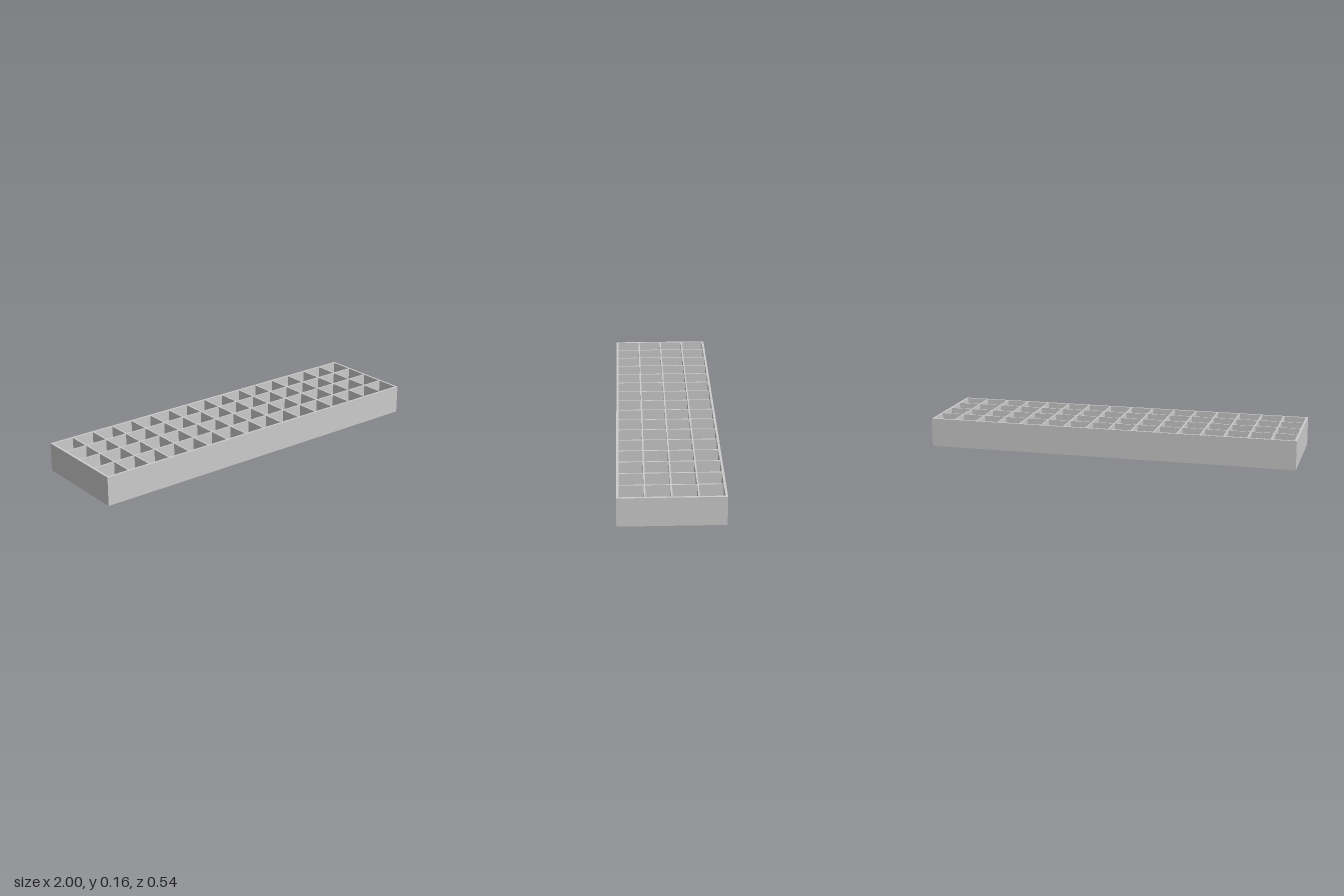
import * as THREE from 'three';

const LENGTH = 2, DEPTH = 0.538, HEIGHT = 0.155;
const RIM = 0.012, DIVIDER = 0.008, FLOOR = 0.012;
const COLUMNS = 16, ROWS = 4;

// Traces a rectangle from its lower corner
function rectangle(path, x, y, w, h) {
  path.moveTo(x, y);
  path.lineTo(x + w, y);
  path.lineTo(x + w, y + h);
  path.lineTo(x, y + h);
  path.closePath();
  return path;
}

export function createModel() {
  const group = new THREE.Group();
  group.name = 'compartmentTray';
  const material = new THREE.MeshStandardMaterial({ color: 0xcccccc, flatShading: true });

  // Outer walls and dividers: one slab pierced by a grid of cells
  const outline = rectangle(new THREE.Shape(), -LENGTH / 2, -DEPTH / 2, LENGTH, DEPTH);
  const cellW = (LENGTH - 2 * RIM - (COLUMNS - 1) * DIVIDER) / COLUMNS;
  const cellD = (DEPTH - 2 * RIM - (ROWS - 1) * DIVIDER) / ROWS;
  for (let c = 0; c < COLUMNS; c++) {
    for (let r = 0; r < ROWS; r++) {
      const x = -LENGTH / 2 + RIM + c * (cellW + DIVIDER);
      const y = -DEPTH / 2 + RIM + r * (cellD + DIVIDER);
      outline.holes.push(rectangle(new THREE.Path(), x, y, cellW, cellD));
    }
  }
  const wallGeometry = new THREE.ExtrudeGeometry(outline, { depth: HEIGHT - FLOOR, bevelEnabled: false });
  wallGeometry.rotateX(-Math.PI / 2);
  const walls = new THREE.Mesh(wallGeometry, material);
  walls.name = 'wallsAndDividers';
  walls.position.y = FLOOR;
  group.add(walls);

  // Solid base plate closing the cells
  const floor = new THREE.Mesh(new THREE.BoxGeometry(LENGTH, FLOOR, DEPTH), material);
  floor.name = 'floor';
  floor.position.y = FLOOR / 2;
  group.add(floor);

  return group;
}
